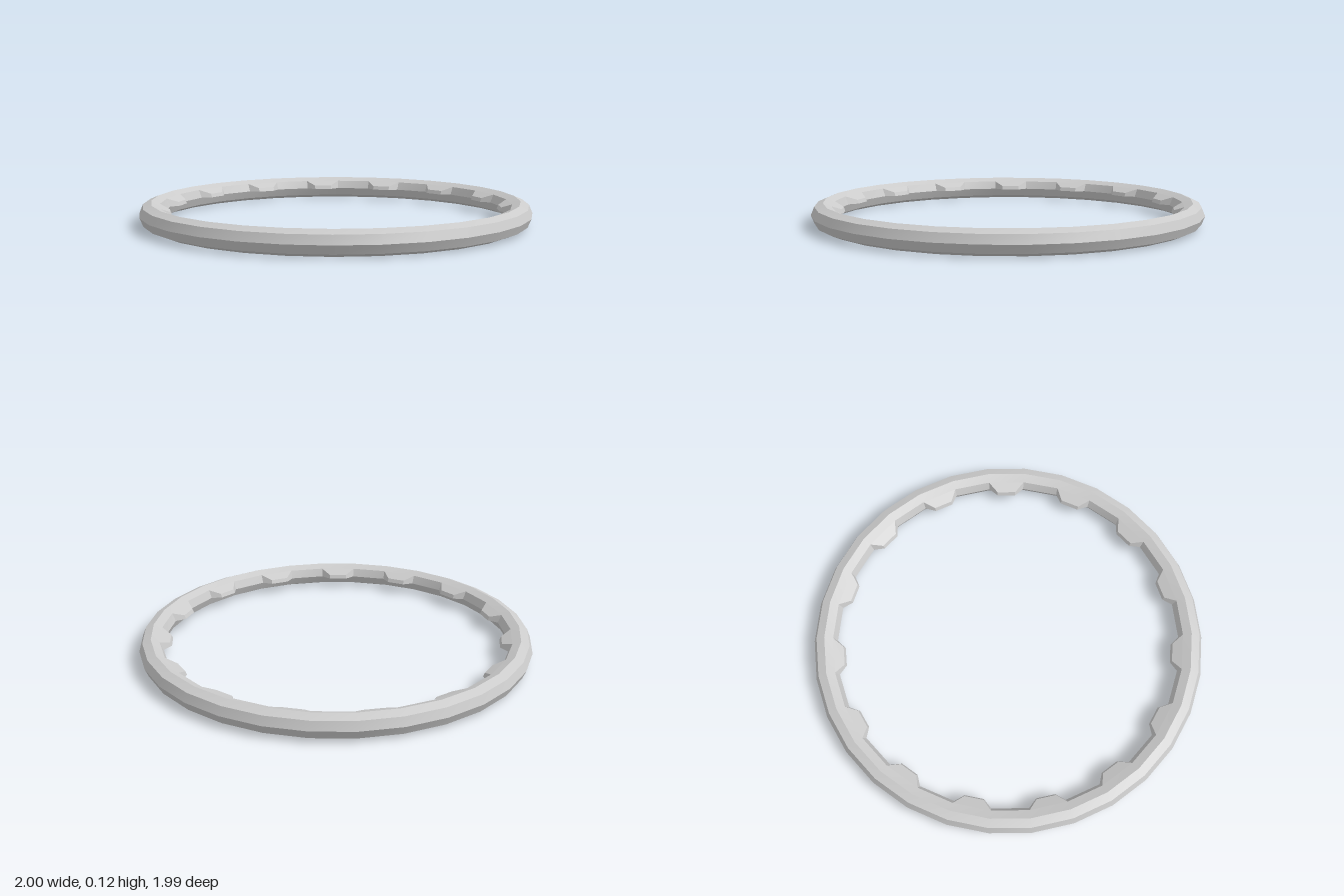
import * as THREE from 'three';
import { toCreasedNormals } from 'three/addons/utils/BufferGeometryUtils.js';

const SIDES = 30, R = 0.94, TUBE = 0.06;
const HALF_STEP = Math.PI / SIDES;

// One tapered finger grip filling an upper inner facet of the rim, at +z.
function gripGeometry() {
  const root = (r, y) => [r * Math.sin(HALF_STEP), y, r * Math.cos(HALF_STEP)];
  const d = TUBE * Math.SQRT1_2;
  const corners = {
    rootTop: root(R - d, TUBE + d),
    rootBottom: root(R - TUBE, TUBE),
    tipTop: [0.048, 0.08, 0.845],
    tipBottom: [0.048, 0.06, 0.837],
  };
  const geo = new THREE.BoxGeometry(1, 1, 1);
  const p = geo.attributes.position;
  for (let i = 0; i < p.count; i++) {
    const key = (p.getZ(i) > 0 ? 'root' : 'tip') + (p.getY(i) > 0 ? 'Top' : 'Bottom');
    const [x, y, z] = corners[key];
    p.setXYZ(i, Math.sign(p.getX(i)) * x, y, z);
  }
  return toCreasedNormals(geo, 0.2);
}

export function createModel() {
  const group = new THREE.Group();
  group.name = 'steeringWheelRim';
  const material = new THREE.MeshStandardMaterial({ color: 0xcccccc });

  // Octagonal rim: smooth around the wheel, creased across the section
  const rimGeo = new THREE.TorusGeometry(R, TUBE, 8, SIDES);
  rimGeo.rotateX(-Math.PI / 2).translate(0, TUBE, 0);
  const rim = new THREE.Mesh(toCreasedNormals(rimGeo, Math.PI / 6), material);
  rim.name = 'rim';
  group.add(rim);

  // Finger grips on every second segment
  const grips = new THREE.Group();
  grips.name = 'fingerGrips';
  const gripGeo = gripGeometry();
  for (let i = 0; i < SIDES / 2; i++) {
    const grip = new THREE.Mesh(gripGeo, material);
    grip.name = 'fingerGrip';
    grip.rotation.y = i * 4 * HALF_STEP;
    grips.add(grip);
  }
  group.add(grips);
  return group;
}
